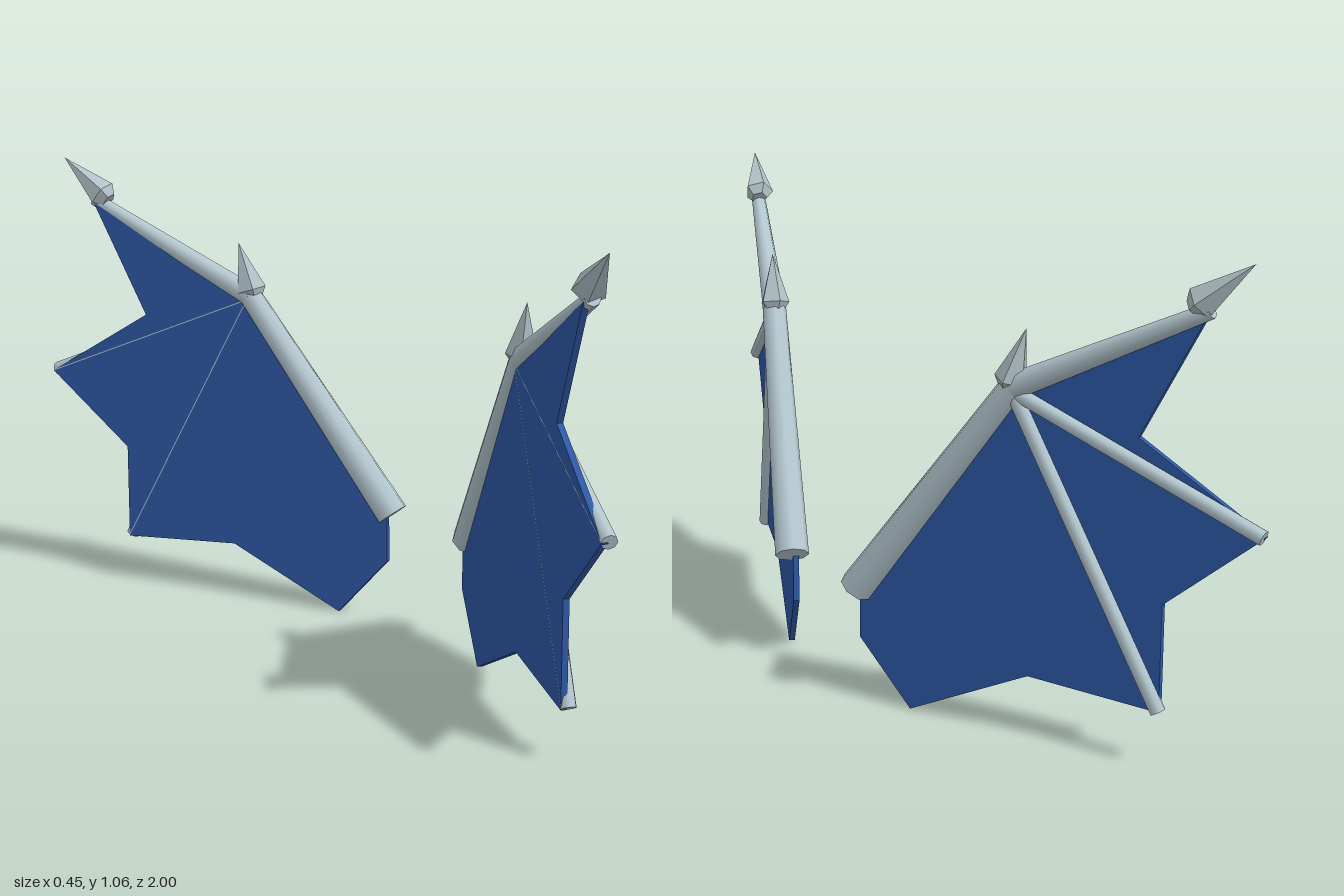
import * as THREE from 'three';

const boneMat = new THREE.MeshStandardMaterial({ color: 0xb4c7cf });
boneMat.name = 'pale bone';
const spikeMat = new THREE.MeshStandardMaterial({ color: 0xb0c0c6, flatShading: true });
spikeMat.name = 'pale spike';
const membraneMat = new THREE.MeshStandardMaterial({ color: 0x2e59a6 });
membraneMat.name = 'blue membrane';

// the wing plane leans away from the z axis, so depths are stretched along it
const SLOPE = 0.47;
const STRETCH = Math.hypot(1, SLOPE);
const at = (z, y) => new THREE.Vector3(z * STRETCH, y, 0);

const UP = new THREE.Vector3(0, 1, 0);
function place(mesh, a, b) {
  mesh.position.copy(a).add(b).multiplyScalar(0.5);
  mesh.quaternion.setFromUnitVectors(UP, b.clone().sub(a).normalize());
  return mesh;
}

// tapered rod from a to b
function rod(name, a, b, ra, rb) {
  const mesh = new THREE.Mesh(new THREE.CylinderGeometry(rb, ra, a.distanceTo(b), 8), boneMat);
  mesh.name = name;
  return place(mesh, a, b);
}

// pointed claw with a short tapered collar under its widest ring
function spike(name, a, b) {
  const h = a.distanceTo(b);
  const profile = [[0, -h / 2], [0.02, -h / 2], [0.036, -h / 2 + 0.022], [0, h / 2]]
    .map(([r, y]) => new THREE.Vector2(r, y));
  const mesh = new THREE.Mesh(new THREE.LatheGeometry(profile, 5), spikeMat);
  mesh.name = name;
  return place(mesh, a, b);
}

function wing(name, side) {
  const g = new THREE.Group();
  g.name = name;
  const knee = at(0.485, 0.75);

  // scalloped skin, set towards the inner face of the bones
  const outline = [[0.145, 0.26], [0.144, 0.144], [0.262, 0], [0.524, 0.134], [0.8, 0.115],
    [0.8, 0.348], [0.995, 0.524], [0.743, 0.69], [0.872, 0.957], [0.49, 0.755]];
  const shape = new THREE.Shape(outline.map(([z, y]) => new THREE.Vector2(z * STRETCH, y)));
  const thickness = 0.0135;
  const geo = new THREE.ExtrudeGeometry(shape, { depth: thickness, bevelEnabled: false });
  geo.translate(0, 0, side > 0 ? 0.003 : -0.003 - thickness);
  const skin = new THREE.Mesh(geo, membraneMat);
  skin.name = 'membrane';
  g.add(skin);

  // arm and three fingers fanning out from the joint
  g.add(rod('armBone', at(0.138, 0.258), at(0.488, 0.765), 0.039, 0.028));
  g.add(rod('upperFinger', at(0.48, 0.757), at(0.878, 0.965), 0.028, 0.017));
  g.add(rod('middleFinger', knee, at(0.993, 0.525), 0.017, 0.017));
  g.add(rod('lowerFinger', knee, at(0.8, 0.118), 0.017, 0.017));

  // claws at the joint and at the upper finger tip
  g.add(spike('jointSpike', at(0.475, 0.752), at(0.512, 0.885)));
  g.add(spike('tipSpike', at(0.842, 0.965), at(0.957, 1.064)));

  g.position.x = 0.256;
  g.rotation.y = Math.atan2(-side, -SLOPE);
  return g;
}

export function createModel() {
  const model = new THREE.Group();
  model.name = 'batWings';
  model.add(wing('frontWing', 1), wing('backWing', -1));
  return model;
}
